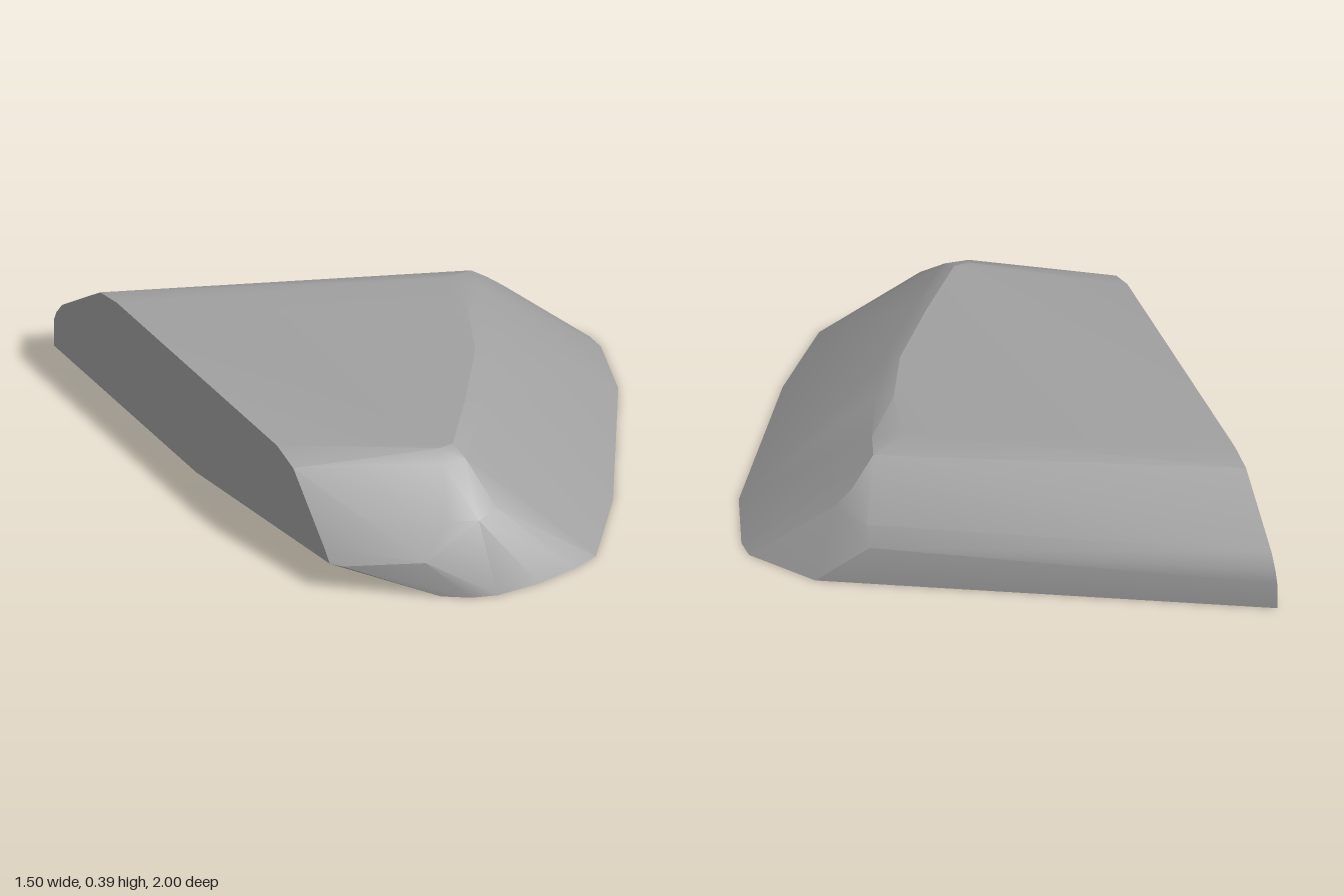
import * as THREE from 'three';
import { ConvexGeometry } from 'three/addons/geometries/ConvexGeometry.js';
import { toCreasedNormals } from 'three/addons/utils/BufferGeometryUtils.js';

export function createModel() {
  const stone = new THREE.MeshStandardMaterial({ color: 0xa0a0a0 });
  stone.name = 'stone grey';

  // Ground outline as x, z pairs at y = 0
  const base = [
    [-0.75, -1], [0.45, -0.385], [0.6, -0.31], [0.75, -0.1], [0.75, -0.03], [0.67, 0.2], [0.31, 0.73],
    [0.09, 0.97], [0, 0.99], [-0.15, 1], [-0.3, 0.985], [-0.38, 0.95], [-0.46, 0.89], [-0.75, -0.14],
  ];
  // Flat top outline as x, z pairs
  const plateau = [
    [-0.75, -0.62], [0.23, -0.16], [0.19, 0.04], [0.09, 0.24], [-0.09, 0.46], [-0.26, 0.65], [-0.31, 0.65], [-0.75, 0.35],
  ];
  // Worn shoulders and chipped corners between the two
  const shoulders = [
    // back wall, from the cut side to the right end
    [-0.75, 0.1, -1], [-0.75, 0.14, -0.985], [-0.75, 0.19, -0.95], [-0.75, 0.375, -0.72],
    [0.44, 0.14, -0.385], [0.43, 0.2, -0.34], [0.44, 0.275, -0.23], [0.5, 0.22, -0.23], [0.35, 0.36, -0.19],
    // long slope on the right front
    [0.32, 0.365, -0.1], [0.23, 0.365, 0.1], [0.11, 0.365, 0.3], [-0.07, 0.365, 0.52],
    // rounded front corner
    [-0.25, 0.365, 0.71], [-0.33, 0.365, 0.7], [-0.22, 0.24, 0.855], [-0.3, 0.23, 0.87], [-0.39, 0.23, 0.82], [-0.5, 0.13, 0.86],
    // left front, with a raised lower edge
    [-0.72, 0.105, 0.7], [-0.75, 0.11, 0.67], [-0.75, 0.15, 0.64], [-0.75, 0.36, 0.45],
  ];

  const points = [
    ...base.map(([x, z]) => new THREE.Vector3(x, 0, z)),
    ...shoulders.map((p) => new THREE.Vector3(...p)),
    ...plateau.map(([x, z]) => new THREE.Vector3(x, 0.393, z)),
  ];
  const rock = new THREE.Mesh(toCreasedNormals(new ConvexGeometry(points), 0.4), stone);
  rock.name = 'rock';

  const group = new THREE.Group();
  group.name = 'cut boulder';
  group.add(rock);
  return group;
}
